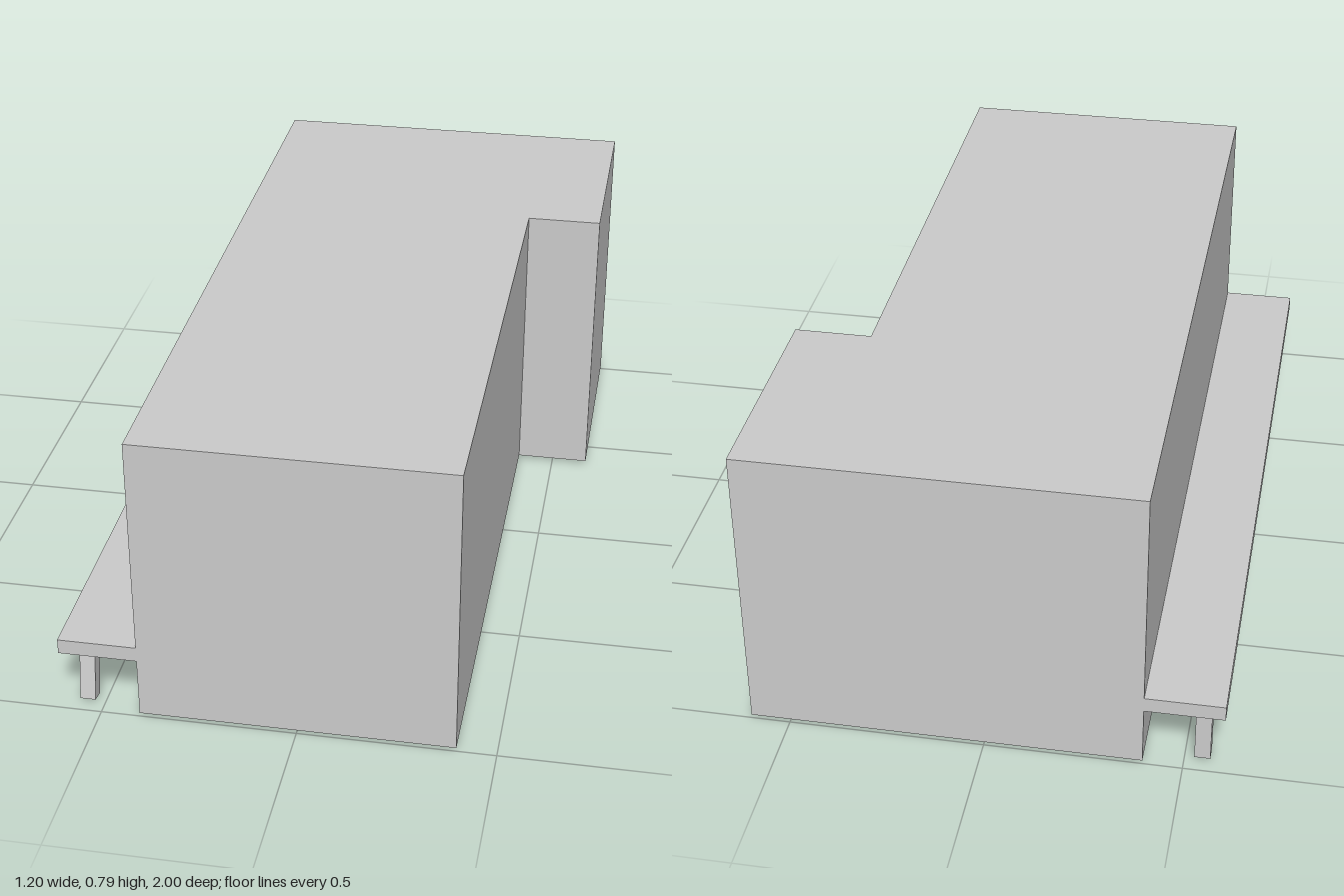
import * as THREE from 'three';

const BASE = 0.01; // underside of the building

export function createModel() {
  const model = new THREE.Group();
  const grey = new THREE.MeshStandardMaterial({ color: 0xcccccc, flatShading: true });

  const add = (name, geometry, parent = model) => {
    const mesh = new THREE.Mesh(geometry, grey);
    mesh.name = name;
    parent.add(mesh);
    return mesh;
  };

  // L-shaped building: footprint drawn as (x, -z), extruded upwards
  const footprint = new THREE.Shape([
    [-0.4, -1], [0.4, -1], [0.4, 0.4], [0.6, 0.4], [0.6, 1], [-0.4, 1],
  ].map(([x, y]) => new THREE.Vector2(x, y)));
  const body = new THREE.ExtrudeGeometry(footprint, { depth: 0.785, bevelEnabled: false });
  body.rotateX(-Math.PI / 2).translate(0, BASE, 0);
  add('building', body);

  // Long deck along the right wall
  add('deck', new THREE.BoxGeometry(0.2, 0.04, 2).translate(-0.5, 0.19, 0));

  // Deck legs, pivoting at the deck underside; two of them lean
  const legs = new THREE.Group();
  legs.name = 'deckLegs';
  model.add(legs);
  const lean = THREE.MathUtils.degToRad(10);
  const layout = [
    [-0.945, 0], [-0.56, lean], [-0.165, 0], [0.215, 0], [0.59, 0], [0.915, -lean],
  ];
  for (const [z, tilt] of layout) {
    const length = tilt ? 0.169 : 0.16;
    const sunk = 0.01; // top end hidden inside the deck
    const geometry = new THREE.BoxGeometry(0.04, length + sunk, 0.04);
    geometry.translate(0, (sunk - length) / 2, 0);
    const leg = add('deckLeg', geometry, legs);
    leg.position.set(-0.545, 0.17, z);
    leg.rotation.x = tilt;
  }

  return model;
}
